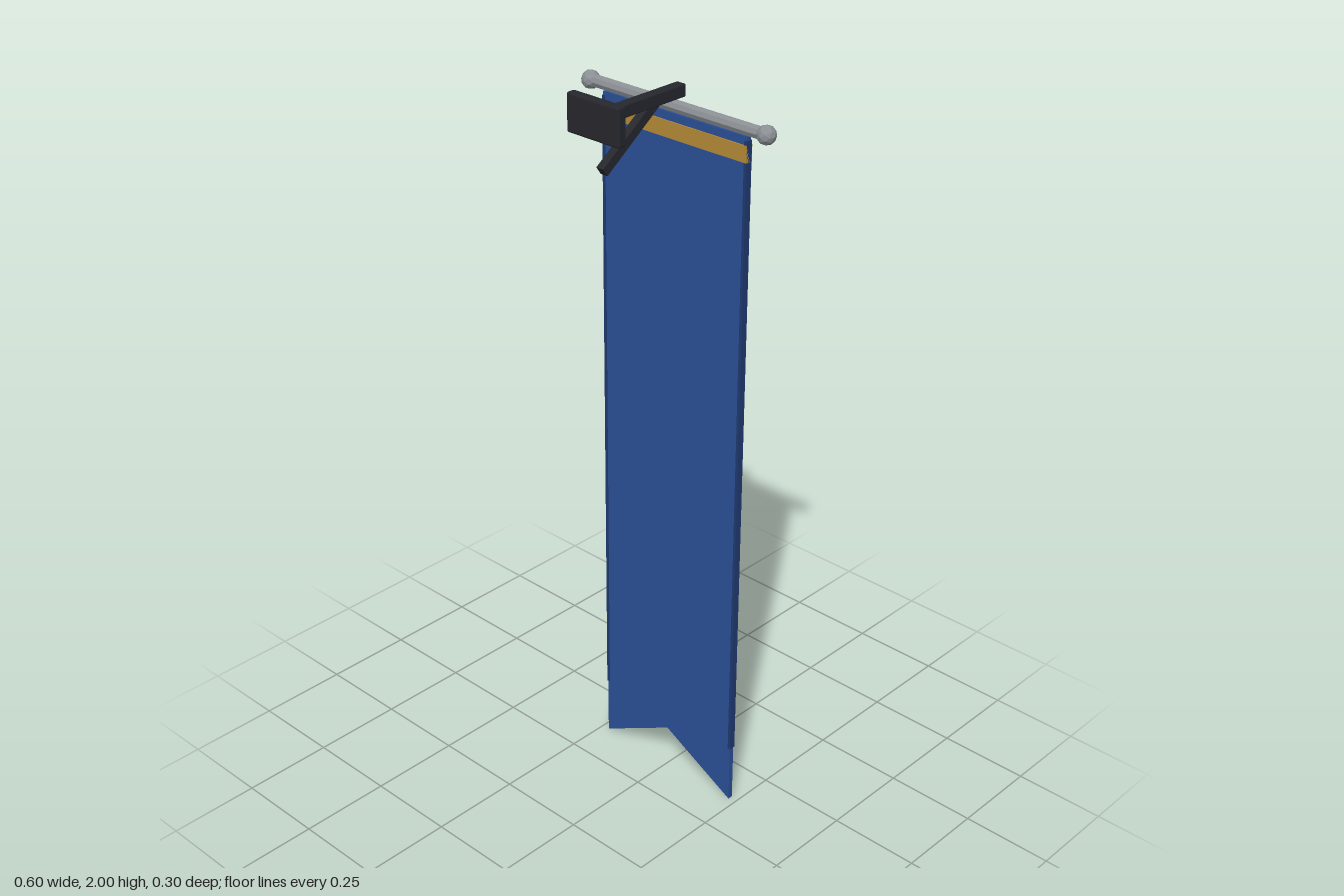
import * as THREE from 'three';
import { RoundedBoxGeometry } from 'three/addons/geometries/RoundedBoxGeometry.js';

const mat = (color) => new THREE.MeshStandardMaterial({ color, flatShading: true });

export function createModel() {
  const root = new THREE.Group();
  const iron = mat(0x26272d), steel = mat(0x8b9095), blue = mat(0x2a4f96);
  const navy = mat(0x1f3a70), gold = mat(0xb58a35), pale = mat(0xb4b0a6);
  const clothZ = -0.126, clothDepth = 0.014, backZ = clothZ - clothDepth / 2;

  const add = (name, geometry, material, x = 0, y = 0, z = 0) => {
    const mesh = new THREE.Mesh(geometry, material);
    mesh.name = name;
    mesh.position.set(x, y, z);
    root.add(mesh);
    return mesh;
  };
  const box = (w, h, d) => new THREE.BoxGeometry(w, h, d);
  const chamferBox = (w, h, d, r) => new RoundedBoxGeometry(w, h, d, 1, r);
  const plate = (points, depth) => new THREE.ExtrudeGeometry(
    new THREE.Shape(points.map(([x, y]) => new THREE.Vector2(x, y))),
    { depth, bevelEnabled: false });

  // Wall bracket: plate, arm and diagonal strut
  add('wallPlate', chamferBox(0.164, 0.096, 0.026, 0.005), iron, 0, 1.952, 0.135);
  add('bracketArm', chamferBox(0.028, 0.032, 0.276, 0.003), iron, 0, 1.952, -0.01);
  const low = new THREE.Vector2(0.118, 1.822), high = new THREE.Vector2(-0.055, 1.945);
  const strut = add('bracketStrut', box(0.022, 0.024, low.distanceTo(high)), iron,
    0, (low.y + high.y) / 2, (low.x + high.x) / 2);
  strut.rotation.x = Math.atan2(high.y - low.y, low.x - high.x);

  // Crossbar with faceted finials
  const rod = add('crossbar', new THREE.CylinderGeometry(0.016, 0.016, 0.56, 8), steel, 0, 1.915, -0.128);
  rod.rotation.z = Math.PI / 2;
  for (const s of [-1, 1])
    add('finial', new THREE.IcosahedronGeometry(0.024, 1), steel, s * 0.278, 1.915, -0.128);

  // Swallow-tailed cloth with side hems and a gold band
  add('bannerCloth', plate(
    [[-0.228, 0], [0, 0.122], [0.228, 0], [0.228, 1.9], [-0.228, 1.9]], clothDepth),
    blue, 0, 0, backZ);
  for (const s of [-1, 1])
    add('sideHem', box(0.008, 1.72, clothDepth + 0.004), navy, s * 0.226, 1.03, clothZ);
  add('goldBand', box(0.46, 0.042, clothDepth + 0.006), gold, 0, 1.858, clothZ);

  // Open book emblem on the back
  for (const s of [-1, 1]) {
    const corners = [[0, 1.235], [s * 0.137, 1.265], [s * 0.137, 1.445], [0, 1.415]];
    add('bookPage', plate(corners, 0.007), pale, 0, 0, backZ - 0.006);
  }
  add('bookSpine', box(0.014, 0.205, 0.011), navy, 0, 1.338, backZ - 0.005);

  // Two stripes below the book
  add('upperStripe', box(0.315, 0.028, 0.008), pale, 0, 0.863, backZ - 0.003);
  add('lowerStripe', box(0.225, 0.026, 0.008), pale, 0, 0.791, backZ - 0.003);

  return root;
}
